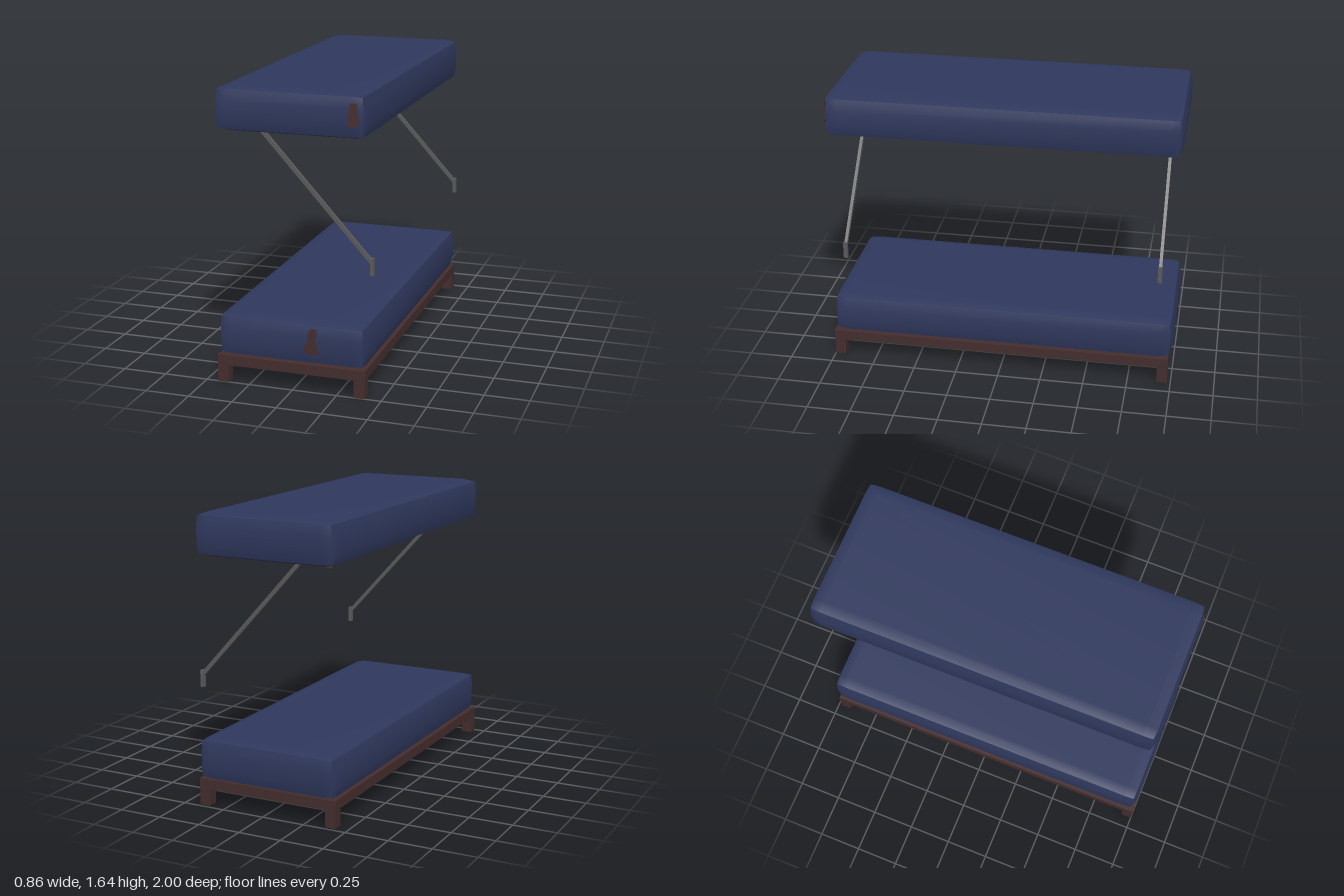
import * as THREE from 'three';

const material = (name, color) => {
  const m = new THREE.MeshStandardMaterial({ color });
  m.name = name;
  return m;
};

const CX = -0.012; // bunk centre in x

// Box with puffed faces: edges and corners sit slightly inside the full size
function mattressGeometry(hx, hy, hz) {
  const inset = 0.075;
  const pull = [0, 0, 0.017, 0.021];
  const geo = new THREE.BoxGeometry(2, 2, 2, 3, 3, 3);
  const pos = geo.attributes.position;
  const half = [hx, hy, hz];
  for (let i = 0; i < pos.count; i++) {
    const p = [pos.getX(i), pos.getY(i), pos.getZ(i)];
    const onBorder = p.map((v) => Math.abs(v) > 0.9);
    const count = onBorder.filter(Boolean).length;
    const q = p.map((v, k) => Math.sign(v) * (half[k] - (onBorder[k] ? pull[count] : inset)));
    pos.setXYZ(i, ...q);
  }
  geo.computeVertexNormals();
  return geo;
}

// Thin irregular patch from an outline
function patchGeometry(points) {
  const shape = new THREE.Shape(points.map(([x, y]) => new THREE.Vector2(x, y)));
  return new THREE.ExtrudeGeometry(shape, { depth: 0.003, bevelEnabled: false });
}

export function createModel() {
  const group = new THREE.Group();
  const fabric = material('navy fabric', 0x2f385d);
  const wood = material('dark wood', 0x442d2e);
  const metal = material('grey metal', 0x5a5a5a);

  const add = (name, geo, mat, x, y, z) => {
    const mesh = new THREE.Mesh(geo, mat);
    mesh.name = name;
    mesh.position.set(x, y, z);
    group.add(mesh);
    return mesh;
  };

  // Mattresses
  const mattress = mattressGeometry(0.421, 0.1225, 1.0);
  add('lowerMattress', mattress, fabric, CX, 0.27, 0);
  add('upperMattress', mattress, fabric, CX, 1.519, 0);

  // Base frame and legs
  add('baseFrame', new THREE.BoxGeometry(0.842, 0.057, 1.98), wood, CX, 0.1265, 0.01);
  const leg = new THREE.BoxGeometry(0.062, 0.1, 0.062);
  for (const sx of [-1, 1]) {
    for (const sz of [-1, 1]) {
      add('leg', leg, wood, CX + sx * 0.39, 0.05, 0.01 + sz * 0.959);
    }
  }

  // Diagonal struts with wall brackets
  const top = new THREE.Vector2(-0.22, 1.434);
  const low = new THREE.Vector2(0.413, 0.735);
  const along = low.clone().sub(top);
  for (const z of [0.9, -0.91]) {
    const strut = add('strut', new THREE.BoxGeometry(along.length(), 0.022, 0.018), metal,
      (top.x + low.x) / 2, (top.y + low.y) / 2, z);
    strut.rotation.z = along.angle();
    add('wallBracket', new THREE.BoxGeometry(0.02, 0.094, 0.024), metal, 0.418, 0.708, z);
  }

  // Brown patches on the front ends
  const lowerPatch = patchGeometry([
    [0.102, 0.358], [0.115, 0.363], [0.142, 0.358], [0.132, 0.3], [0.146, 0.25],
    [0.143, 0.215], [0.085, 0.217], [0.068, 0.235], [0.07, 0.265], [0.086, 0.277], [0.09, 0.33],
  ]);
  add('lowerPatch', lowerPatch, wood, 0, 0, 0.999);
  const upperPatch = patchGeometry([
    [-0.021, 0.068], [0.016, 0.07], [0.02, 0.015], [0.03, -0.03],
    [0.01, -0.055], [-0.015, -0.058], [-0.036, -0.04], [-0.028, 0.02],
  ]);
  add('upperPatch', upperPatch, wood, 0.345, 1.524, 0.997).rotation.y = 0.12;

  // Small patch under a rear corner
  add('undersidePatch', new THREE.CylinderGeometry(0.022, 0.022, 0.004, 7), wood, -0.385, 1.401, -0.945);

  return group;
}
